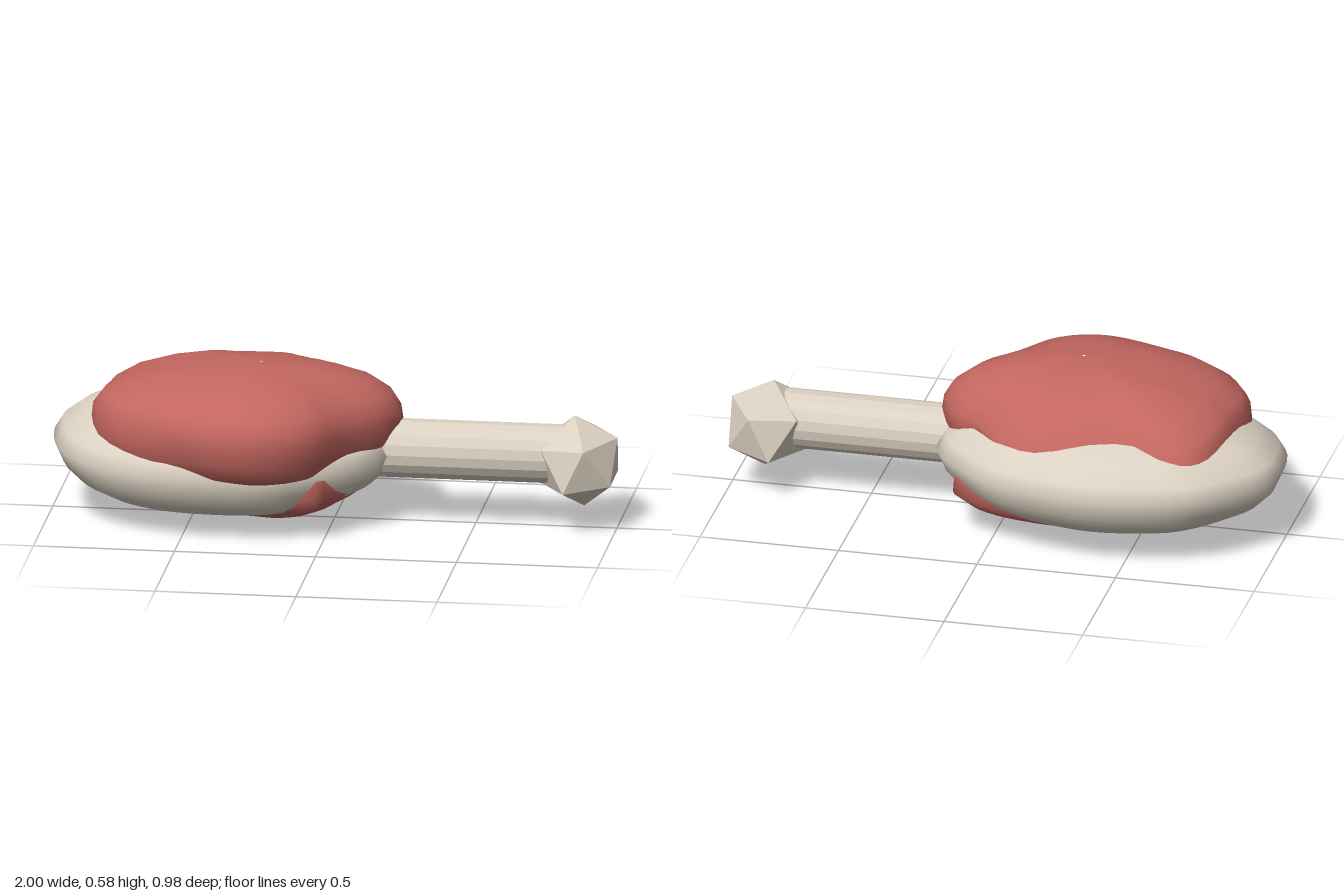
import * as THREE from 'three';

// Closed lump: a smooth plan outline [x, z] scaled about a centre at each level [y, scale].
function lump(outline, [cx, cz], levels, bend, n = 56) {
  const curve = new THREE.CatmullRomCurve3(outline.map(([x, z]) => new THREE.Vector3(x, 0, z)), true);
  const ring = curve.getPoints(n).slice(0, n);
  const pos = [], idx = [];
  for (const [y, s] of levels) {
    for (const p of ring) {
      const x = cx + (p.x - cx) * s, z = cz + (p.z - cz) * s;
      pos.push(x, bend(x, y, z), z);
    }
  }
  for (let i = 0; i < levels.length - 1; i++) {
    for (let j = 0; j < n; j++) {
      const a = i * n + j, b = i * n + (j + 1) % n;
      idx.push(a, b, a + n, b, b + n, a + n);
    }
  }
  const g = new THREE.BufferGeometry();
  g.setAttribute('position', new THREE.Float32BufferAttribute(pos, 3));
  g.setIndex(idx);
  g.computeVertexNormals();
  return g;
}

// Smooth local bump centred on (x0, z0)
const bump = (x, z, x0, z0, width) => Math.exp(-((x - x0) ** 2 + (z - z0) ** 2) / (width * width));

export function createModel() {
  const group = new THREE.Group();
  const bone = new THREE.MeshStandardMaterial({ color: 0xdbd1c2 });
  bone.name = 'bone';
  const meat = new THREE.MeshStandardMaterial({ color: 0xc2665f });
  meat.name = 'meat';
  const add = (name, geometry, material) => {
    const m = new THREE.Mesh(geometry, material);
    m.name = name;
    group.add(m);
  };
  const faceted = (g) => {
    const f = g.index ? g.toNonIndexed() : g;
    f.computeVertexNormals();
    return f;
  };

  // Pale rounded core, flattened vertically and drooping a little at the front
  const core = [
    [0.235, -0.06], [0.22, -0.18], [0.13, -0.29], [0, -0.4], [-0.18, -0.46], [-0.38, -0.49],
    [-0.6, -0.46], [-0.77, -0.4], [-0.92, -0.26], [-0.99, -0.15], [-1, -0.04], [-0.96, 0.15],
    [-0.86, 0.28], [-0.73, 0.36], [-0.55, 0.41], [-0.35, 0.42], [-0.16, 0.4], [0, 0.32],
    [0.12, 0.22], [0.2, 0.1],
  ];
  const coreLevels = [
    [0.06, 0.01], [0.062, 0.3], [0.08, 0.58], [0.11, 0.75], [0.15, 0.87], [0.2, 0.95],
    [0.27, 1], [0.32, 0.95], [0.375, 0.83], [0.42, 0.64], [0.45, 0.35], [0.46, 0.01],
  ];
  add('fatCore', lump(core, [-0.38, -0.03], coreLevels,
    (x, y, z) => y - 0.09 * Math.max(0, z)), bone);

  // Upper meat, overhanging the core at the front
  const upper = [
    [0.24, -0.02], [0.17, -0.145], [0.09, -0.19], [-0.02, -0.3], [-0.15, -0.37], [-0.34, -0.36],
    [-0.51, -0.325], [-0.63, -0.35], [-0.72, -0.335], [-0.78, -0.27], [-0.82, -0.13], [-0.835, -0.02],
    [-0.85, 0.12], [-0.78, 0.27], [-0.66, 0.365], [-0.53, 0.415], [-0.35, 0.475], [-0.23, 0.488],
    [-0.11, 0.455], [-0.02, 0.39], [0.03, 0.32], [0.09, 0.235], [0.2, 0.11],
  ];
  const upperLevels = [
    [0.19, 0.01], [0.2, 0.7], [0.24, 0.88], [0.3, 0.96], [0.37, 1], [0.42, 0.985],
    [0.465, 0.93], [0.51, 0.8], [0.545, 0.6], [0.565, 0.42], [0.577, 0.2], [0.58, 0.01],
  ];
  add('upperMeat', lump(upper, [-0.25, 0.07], upperLevels, (x, y, z) => {
    const backDrop = y > 0.37 ? 0.2 * Math.min(0, z + 0.1) : 0;
    const leftDrop = y < 0.4 ? 0.1 * Math.min(0, x + 0.5) : 0;
    return y + backDrop + leftDrop;
  }), meat);

  // Lower meat, wrapping underneath and rising in a strip at the front and a lobe at the back
  const lower = [
    [0.13, 0], [0.13, -0.14], [0.145, -0.25], [-0.02, -0.34], [-0.25, -0.36], [-0.45, -0.33],
    [-0.62, -0.22], [-0.67, -0.02], [-0.56, 0.18], [-0.37, 0.27], [-0.15, 0.31], [-0.01, 0.325],
    [0.08, 0.15],
  ];
  const lowerLevels = [
    [0, 0.01], [0.012, 0.25], [0.03, 0.45], [0.06, 0.68], [0.095, 0.87], [0.14, 1],
    [0.19, 0.99], [0.23, 0.93], [0.25, 0.5], [0.25, 0.01],
  ];
  add('lowerMeat', lump(lower, [-0.31, -0.01], lowerLevels, (x, y, z) => {
    const rise = Math.max(0, y - 0.12);
    return y + rise * (0.8 * bump(x, z, -0.02, 0.32, 0.08) + 0.5 * bump(x, z, 0.12, -0.25, 0.1));
  }), meat);

  // Straight bone handle
  const shaft = new THREE.CylinderGeometry(0.105, 0.105, 0.7, 18);
  shaft.rotateZ(Math.PI / 2).translate(0.48, 0.263, -0.002);
  add('boneShaft', faceted(shaft), bone);

  // Faceted knob with one corner pointing up, tipped slightly
  const knob = new THREE.IcosahedronGeometry(1, 0);
  knob.rotateZ(Math.atan(2 / (1 + Math.sqrt(5)))).rotateY(Math.PI);
  knob.scale(0.16, 0.165, 0.203).rotateZ(0.1).translate(0.866, 0.24, -0.008);
  add('boneKnob', faceted(knob), bone);

  return group;
}
